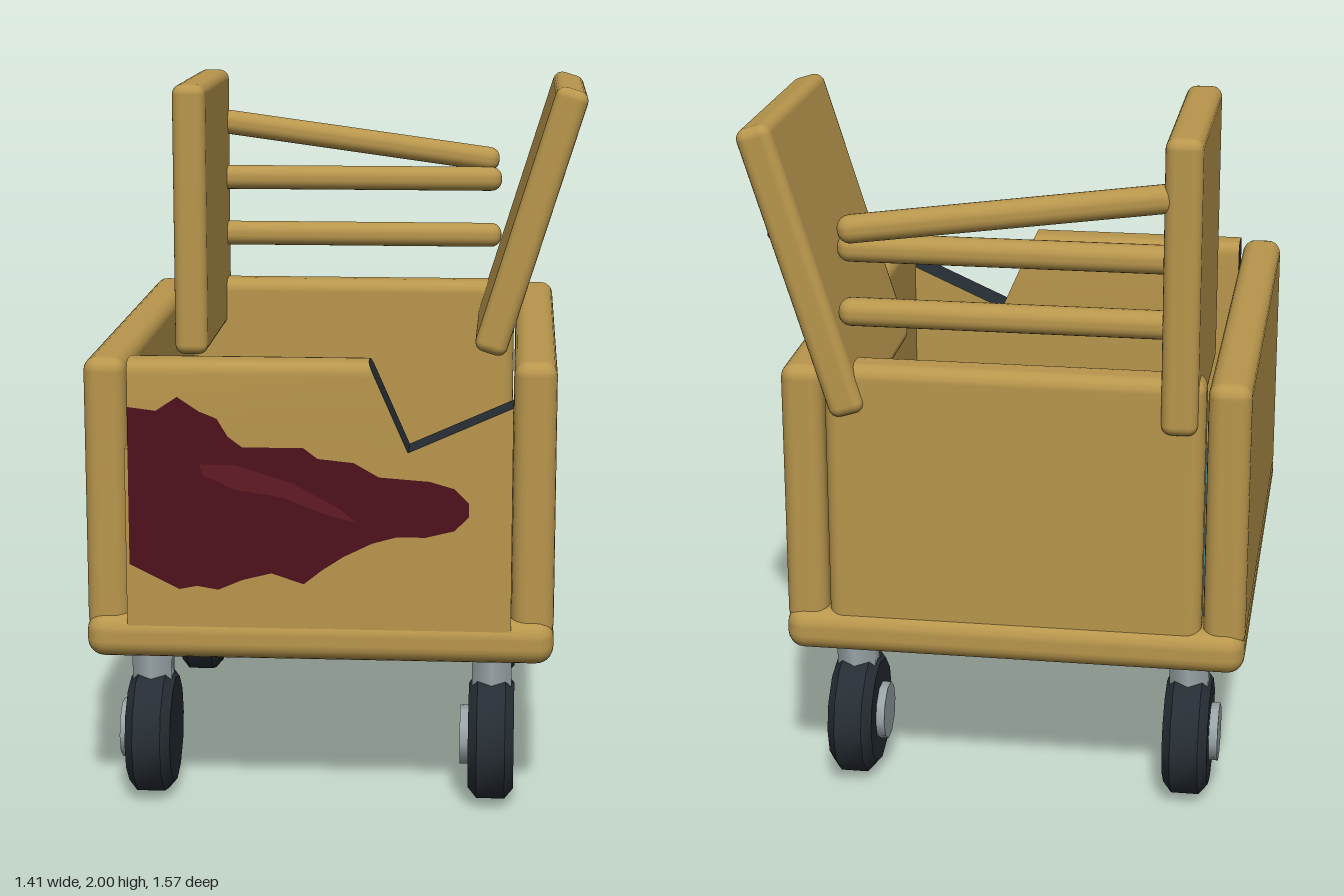
import * as THREE from 'three';
import { toCreasedNormals } from 'three/addons/utils/BufferGeometryUtils.js';
import { RoundedBoxGeometry } from 'three/addons/geometries/RoundedBoxGeometry.js';

const mat = (color, side = THREE.FrontSide) => new THREE.MeshStandardMaterial({ color, side });
const wood = mat(0xb8964c);
const dark = mat(0x262d34);
const metal = mat(0x9aa5a8);
const teal = mat(0x47787a);
const red = mat(0x4e111d, THREE.DoubleSide);
const sheen = mat(0x611c24, THREE.DoubleSide);

function add(parent, name, geometry, material, x = 0, y = 0, z = 0) {
  const mesh = new THREE.Mesh(geometry, material);
  mesh.name = name;
  mesh.position.set(x, y, z);
  parent.add(mesh);
  return mesh;
}

// Rounded slab given by its extents on each axis
function slab(parent, name, [x0, x1], [y0, y1], [z0, z1], r = 0.035) {
  const g = new RoundedBoxGeometry(x1 - x0, y1 - y0, z1 - z0, 3, r);
  return add(parent, name, g, wood, (x0 + x1) / 2, (y0 + y1) / 2, (z0 + z1) / 2);
}

// Flat shape from a list of alternating coordinates in hundredths
function flat(list) {
  const pts = [];
  for (let i = 0; i < list.length; i += 2) pts.push(new THREE.Vector2(list[i] / 100, list[i + 1] / 100));
  return new THREE.ShapeGeometry(new THREE.Shape(pts));
}

// Splash outline with a lighter streak just above it
function splash(name, outline, streak) {
  const group = new THREE.Group();
  group.name = name;
  add(group, 'splash', flat(outline), red);
  add(group, 'streak', flat(streak), sheen, 0, 0, 0.003);
  return group;
}

// Front panel with a broken notch in its upper left corner
function frontPanel() {
  const group = new THREE.Group();
  group.name = 'frontPanel';
  add(group, 'lowerPanel', new THREE.BoxGeometry(1.08, 0.51, 0.12), wood, -0.05, 0.805, 0.715);

  // Upper part: rounded top, end face slanted along the break
  const s = new THREE.Shape();
  s.moveTo(-0.06, 0);
  s.lineTo(0.06, 0);
  s.lineTo(0.06, 0.21);
  s.quadraticCurveTo(0.06, 0.25, 0.02, 0.25);
  s.lineTo(-0.02, 0.25);
  s.quadraticCurveTo(-0.06, 0.25, -0.06, 0.21);
  const g = new THREE.ExtrudeGeometry(s, { depth: 0.78, bevelEnabled: false, curveSegments: 5 });
  const p = g.attributes.position;
  for (let i = 0; i < p.count; i++) {
    if (p.getZ(i) > 0.5) p.setZ(i, 0.78 - 0.44 * p.getY(i));
  }
  g.rotateY(Math.PI / 2);
  g.computeVertexNormals();
  add(group, 'upperPanel', toCreasedNormals(g, 0.6), [dark, wood], -0.58, 1.06, 0.715);

  // Wedge under the other side of the break
  const w = new THREE.Shape([[0.2, 1.06], [0.49, 1.06], [0.49, 1.19]].map(a => new THREE.Vector2(...a)));
  add(group, 'notchWedge', new THREE.ExtrudeGeometry(w, { depth: 0.12, bevelEnabled: false }),
    [wood, dark], 0, 0, 0.655);
  return group;
}

// Wheel with hub on its right side and a six-sided stem
function caster(x, z) {
  const group = new THREE.Group();
  group.name = 'caster';
  const profile = [[0, -0.065], [0.155, -0.065], [0.185, -0.04], [0.185, 0.04], [0.155, 0.065], [0, 0.065]];
  const tyre = new THREE.LatheGeometry(profile.map(a => new THREE.Vector2(...a)), 12);
  add(group, 'wheel', toCreasedNormals(tyre.rotateZ(Math.PI / 2), 0.6), dark, 0, 0.185, 0);
  const hub = new THREE.CylinderGeometry(0.085, 0.085, 0.05, 10).rotateZ(Math.PI / 2);
  add(group, 'hub', hub, metal, -0.065, 0.185, 0);
  add(group, 'stem', new THREE.CylinderGeometry(0.065, 0.065, 0.18, 6), metal, 0, 0.38, 0);
  group.position.set(x, 0, z);
  return group;
}

export function createModel() {
  const model = new THREE.Group();
  model.name = 'brokenCart';

  // Box body
  slab(model, 'base', [-0.71, 0.61], [0.45, 0.575], [-0.78, 0.78], 0.05);
  slab(model, 'rightPanel', [-0.71, -0.59], [0.52, 1.31], [-0.755, 0.75], 0.04);
  slab(model, 'leftPanel', [0.49, 0.61], [0.52, 1.31], [-0.755, 0.75], 0.04);
  slab(model, 'backPanel', [-0.585, 0.485], [0.52, 1.32], [-0.76, -0.64], 0.04);
  model.add(frontPanel());
  add(model, 'mattress', new THREE.BoxGeometry(1.08, 0.08, 1.265), teal, -0.05, 0.57, -0.003);

  // Upright and leaning headrest boards
  slab(model, 'rightBoard', [-0.565, -0.463], [1.165, 2], [-0.785, -0.09], 0.03);
  const leaning = new THREE.Group();
  leaning.name = 'leaningBoard';
  slab(leaning, 'leftBoard', [-0.051, 0.051], [-0.425, 0.425], [-0.35, 0.35], 0.03);
  leaning.position.set(0.535, 1.585, -0.435);
  leaning.rotation.z = -0.3;
  model.add(leaning);

  // Rails between the boards, the top one fallen at one end
  slab(model, 'lowerRail', [-0.5, 0.44], [1.427, 1.505], [-0.75, -0.672]);
  slab(model, 'middleRail', [-0.5, 0.44], [1.612, 1.69], [-0.75, -0.672]);
  slab(model, 'upperRail', [-0.5, 0.435], [1.732, 1.81], [-0.785, -0.707]).rotation.z = -0.135;

  for (const x of [-0.545, 0.437]) {
    for (const z of [-0.587, 0.587]) model.add(caster(x, z));
  }

  // Splashes
  const front = splash('frontSplash', [
    -58, 118, -50, 117, -44, 121, -38, 117, -33, 115, -30, 110, -26, 107, -19, 107, -9, 107, -5, 104,
    5, 103, 12, 99, 26, 98, 33, 96, 37, 92, 37, 88, 33, 84, 25, 82, 17, 82, 10, 80, 2, 76, -4, 72,
    -9, 68, -18, 71, -26, 69, -33, 66, -39, 67, -44, 66, -50, 69, -58, 73,
  ], [-38, 102, -28, 102, -12, 97, 1, 90, 6, 86, -2, 88, -15, 93, -28, 95, -37, 99]);
  front.position.z = 0.778;
  model.add(front);

  const floor = splash('mattressSplash', [
    -52, -2, -37, 5, -38, 21, -31, 24, -27, 22, -19, 28, -12, 18, -5, 7, 0, 10, 2, 17, 12, 17, 19, 21,
    25, 20, 27, 15, 36, 16, 49, 15, 49, -13, 45, -16, 27, -21, 24, -25, 29, -29, 30, -37, 17, -37,
    10, -49, 8, -62, -14, -62, -22, -53, -28, -52, -38, -52, -38, -45, -29, -27, -34, -25, -37, -19, -49, -10,
  ], [-22, -6, -17, -5, -6, -7, 7, -12, 14, -20, 2, -16, -10, -12, -20, -10]);
  floor.rotation.x = -Math.PI / 2;
  floor.position.y = 0.614;
  model.add(floor);

  const side = splash('boardSplash', [
    28, 194, 36, 193, 41, 186, 45, 183, 53, 189, 59, 187, 59, 181, 65, 176, 67, 172, 71, 173, 76, 169,
    72, 164, 65, 155, 62, 147, 55, 150, 47, 152, 43, 145, 40, 137, 31, 138, 27, 141, 19, 137, 18, 142,
    23, 144, 18, 149, 19, 153, 26, 158, 27, 163, 24, 167, 25, 174, 24, 178, 30, 183, 27, 190,
  ], [31, 166, 40, 168, 52, 168, 52, 166, 40, 165, 31, 163]);
  side.rotation.y = Math.PI / 2;
  side.scale.y = 1.047;
  side.position.set(0.054, -1.585 * 1.047 + 0.015, 0.435);
  leaning.add(side);

  return model;
}
